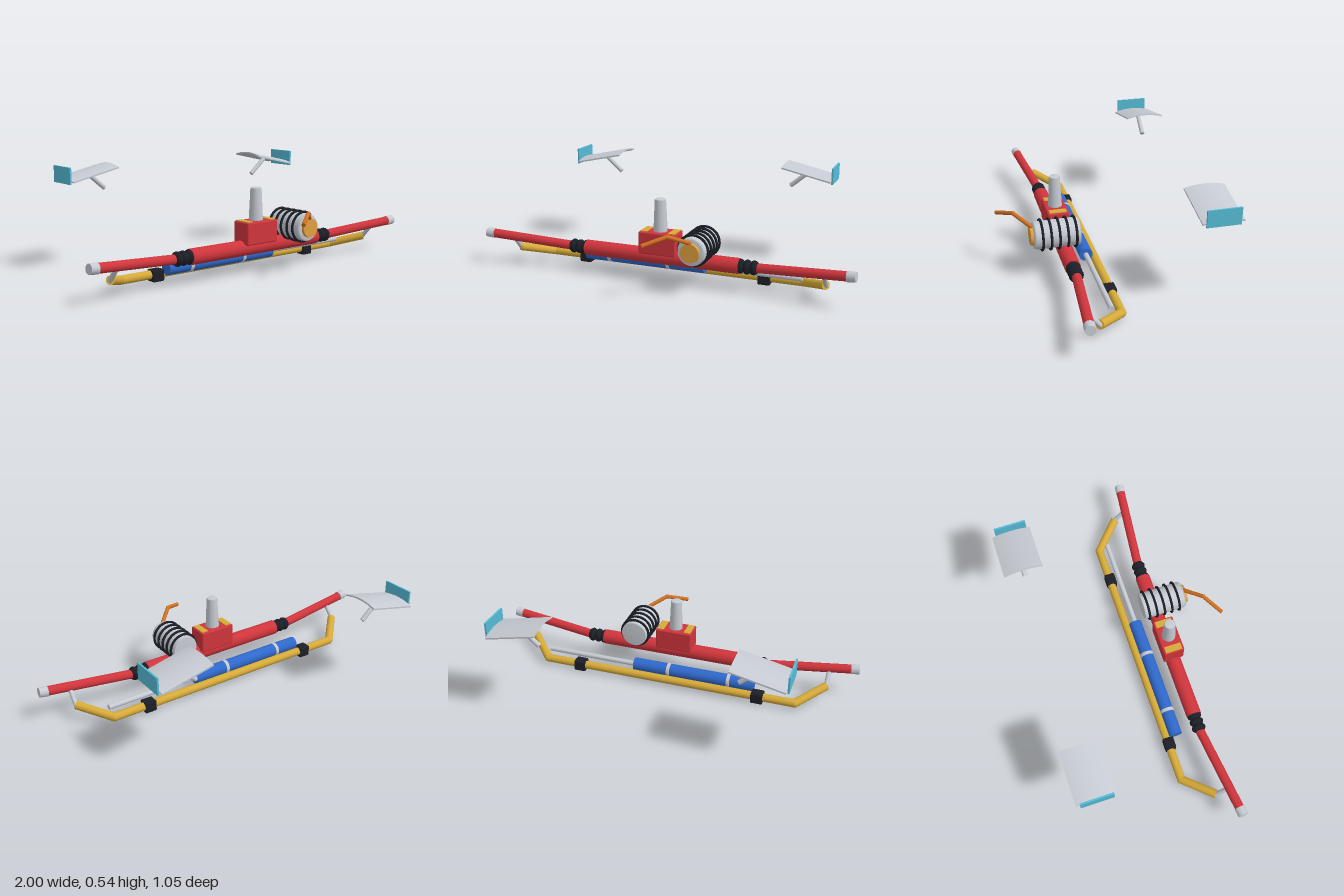
import * as THREE from 'three';
import { RoundedBoxGeometry } from 'three/addons/geometries/RoundedBoxGeometry.js';

const flat = (name, color) => {
  const m = new THREE.MeshStandardMaterial({ color });
  m.name = name;
  return m;
};

export function createModel() {
  const red = flat('red', 0xd0353c);
  const gray = flat('lightGray', 0xc6cad2);
  const black = flat('black', 0x1c1f27);
  const blue = flat('blue', 0x2f69cc);
  const yellow = flat('yellow', 0xd6aa38);
  const amber = flat('amber', 0xe0a040);
  const orange = flat('orange', 0xd06f20);
  const teal = flat('teal', 0x56bcd6);

  const root = new THREE.Group();
  root.name = 'frontAssembly';
  const V = (x, y, z) => new THREE.Vector3(x, y, z);
  const UP = V(0, 1, 0);

  const add = (name, geometry, material, pos = V(0, 0, 0), parent = root) => {
    const m = new THREE.Mesh(geometry, material);
    m.name = name;
    m.position.copy(pos);
    parent.add(m);
    return m;
  };

  // Cylinder running from point a to point b
  const rod = (name, a, b, r, material, r2 = r, parent = root) => {
    const d = b.clone().sub(a);
    const m = add(name, new THREE.CylinderGeometry(r2, r, d.length(), 28), material,
      a.clone().add(b).multiplyScalar(0.5), parent);
    m.quaternion.setFromUnitVectors(UP, d.normalize());
    return m;
  };

  // Bent rod with rounded joints
  const bentRod = (name, pts, r, material) => {
    const g = new THREE.Group();
    g.name = name;
    root.add(g);
    for (let i = 0; i < pts.length - 1; i++) {
      rod(name + 'Segment', pts[i], pts[i + 1], r, material, r, g);
      if (i > 0) add(name + 'Joint', new THREE.SphereGeometry(r, 20, 14), material, pts[i], g);
    }
  };

  // Steering rack housing
  const Y = 0.135, Z = 0.205;
  rod('rackTube', V(-0.42, Y, Z), V(0.42, Y, Z), 0.04, red);

  for (const s of [-1, 1]) {
    // Rubber bellows
    rod('bellowsCore', V(s * 0.41, Y, Z), V(s * 0.512, Y, Z), 0.028, black);
    for (let i = 0; i < 3; i++) {
      const ring = add('bellowsRib', new THREE.TorusGeometry(0.02, 0.017, 14, 28), black,
        V(s * (0.426 + i * 0.034), Y, Z));
      ring.rotation.y = Math.PI / 2;
    }

    // Outer tie rod with its end cap
    const a = V(s * 0.5, Y, Z), b = V(s * 0.955, 0.167, 0.253), c = V(s * 0.998, 0.17, 0.257);
    rod('tieRod', a, b, 0.024, red);
    rod('tieRodCap', b, c, 0.027, gray, 0.025);

    // Strut joining the lower bar to the tie rod
    rod('endStrut', V(s * 0.843, 0.078, 0.172), V(s * 0.843, 0.162, 0.245), 0.012, gray);

    // Clamp on the lower bar
    add('barClamp', new RoundedBoxGeometry(0.066, 0.06, 0.058, 3, 0.008), black, V(s * 0.505, 0.03, 0.042));

    // Winglet with camber, end plate and stub
    const wing = new THREE.BoxGeometry(0.272, 0.008, 0.204, 1, 1, 16);
    const p = wing.attributes.position;
    for (let i = 0; i < p.count; i++) {
      const t = p.getZ(i) / 0.102;
      p.setY(i, p.getY(i) + 0.015 * (1 - t * t) - 0.004);
    }
    wing.computeVertexNormals();
    add('winglet', wing, gray, V(s * 0.611, 0.5, -0.424)).rotation.z = -s * 0.217;
    add('wingletEndPlate', new THREE.BoxGeometry(0.009, 0.086, 0.168), teal, V(s * 0.749, 0.498, -0.421));
    rod('wingletStub', V(s * 0.508, 0.413, -0.421), V(s * 0.61, 0.5, -0.421), 0.0125, gray);
  }

  // Lower anti-roll bar
  bentRod('lowerBar', [
    V(-0.843, 0.083, 0.178), V(-0.705, 0.034, 0.038),
    V(0.705, 0.034, 0.038), V(0.843, 0.083, 0.178),
  ], 0.022, yellow);

  // Hydraulic cylinder, bands and piston rod
  const H = (x) => V(x, 0.067, 0.087);
  rod('hydraulicCylinder', H(-0.475), H(0.2), 0.035, blue);
  for (const x of [-0.337, 0]) rod('cylinderBand', H(x - 0.009), H(x + 0.009), 0.037, gray);
  rod('pistonRod', H(0.19), H(0.708), 0.0135, gray);

  // Gearbox block with top plates and input shaft
  add('gearbox', new RoundedBoxGeometry(0.2, 0.116, 0.112, 3, 0.008), red, V(0, 0.212, Z));
  for (const s of [-1, 1])
    add('gearboxPlate', new THREE.BoxGeometry(0.036, 0.009, 0.09), yellow, V(s * 0.075, 0.269, Z));
  const shaft = [[0, 0], [0.036, 0], [0.036, 0.01], [0.0285, 0.168], [0.025, 0.173], [0, 0.173]];
  add('inputShaft', new THREE.LatheGeometry(shaft.map(([r, y]) => new THREE.Vector2(r, y)), 32), gray, V(0, 0.264, Z));

  // Canister lying along z, with rings and front cap
  const can = new THREE.Group();
  can.name = 'canister';
  can.position.set(0.22, 0.226, 0);
  root.add(can);
  const body = [[0, 0.129], [0.066, 0.129], [0.071, 0.134], [0.071, 0.352], [0.064, 0.364], [0, 0.364]];
  add('canisterBody', new THREE.LatheGeometry(body.map(([r, y]) => new THREE.Vector2(r, y)), 36), gray,
    V(0, 0, 0), can).rotation.x = Math.PI / 2;
  for (let i = 0; i < 5; i++)
    add('canisterRing', new THREE.TorusGeometry(0.077, 0.0065, 10, 40), black, V(0, 0, 0.153 + i * 0.0425), can);
  rod('canisterCap', V(0, 0, 0.36), V(0, 0, 0.379), 0.05, amber, 0.048, can);

  // Bent lever in front of the canister
  bentRod('lever', [
    V(0.222, 0.274, 0.366), V(0.134, 0.319, 0.446), V(0.032, 0.282, 0.518),
  ], 0.0105, orange);

  return root;
}
